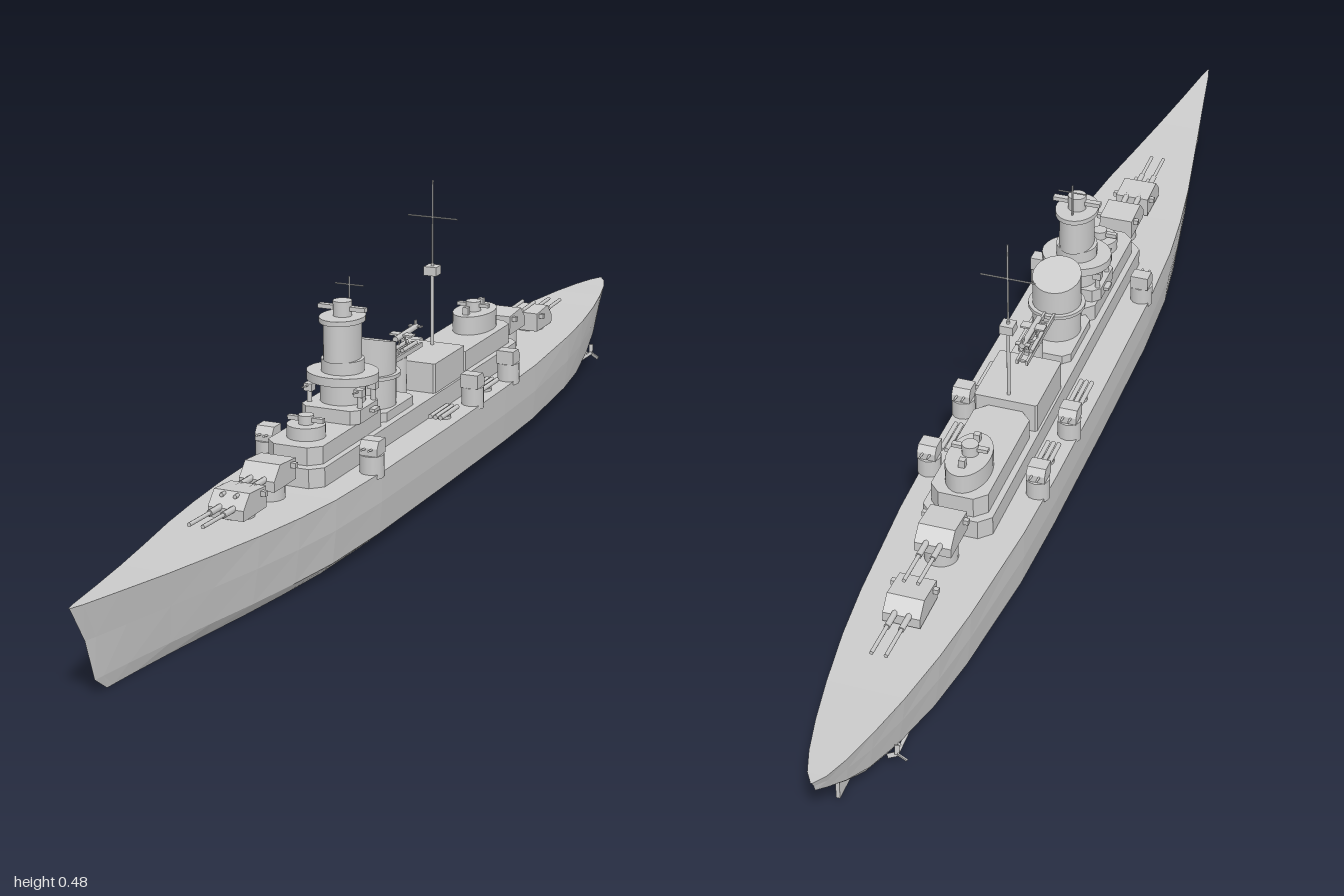
import * as THREE from 'three';

const mat = new THREE.MeshStandardMaterial({ color: 0xcccccc, flatShading: true });
const smooth = new THREE.MeshStandardMaterial({ color: 0xcccccc });

function add(parent, name, geo, x = 0, y = 0, z = 0, m = mat) {
  const mesh = new THREE.Mesh(geo, m);
  mesh.name = name;
  mesh.position.set(x, y, z);
  parent.add(mesh);
  return mesh;
}
const box = (g, name, w, h, d, x, y, z) => add(g, name, new THREE.BoxGeometry(w, h, d), x, y, z);

// Upright cylinder from y0 to y1
const drum = (g, name, r, y0, y1, x, z, rBottom = r, sides = 24) =>
  add(g, name, new THREE.CylinderGeometry(r, rBottom, y1 - y0, sides), x, (y0 + y1) / 2, z, smooth);

// Thin rod between two points
function rod(g, name, a, b, r) {
  const p = new THREE.Vector3(...a), q = new THREE.Vector3(...b);
  const m = add(g, name, new THREE.CylinderGeometry(r, r, p.distanceTo(q), 8), 0, 0, 0, smooth);
  m.position.copy(p).add(q).multiplyScalar(0.5);
  m.quaternion.setFromUnitVectors(new THREE.Vector3(0, 1, 0), q.sub(p).normalize());
  return m;
}

// Deckhouse with chamfered corners in plan
function house(g, name, w, z0, z1, y0, y1, c = 0.012) {
  const pts = [[w, z0 + c], [w, z1 - c], [w - c, z1], [c - w, z1], [-w, z1 - c], [-w, z0 + c], [c - w, z0], [w - c, z0]];
  const shape = new THREE.Shape(pts.map(p => new THREE.Vector2(...p)));
  const geo = new THREE.ExtrudeGeometry(shape, { depth: y1 - y0, bevelEnabled: false });
  return add(g, name, geo.rotateX(Math.PI / 2), 0, y1, 0);
}

// Side profile of (z, y) points given a width across x
function profile(pts, width) {
  const shape = new THREE.Shape(pts.map(p => new THREE.Vector2(...p)));
  const geo = new THREE.ExtrudeGeometry(shape, { depth: width, bevelEnabled: false });
  return geo.translate(0, 0, -width / 2).rotateY(-Math.PI / 2);
}

// Hull lofted through sections: deckZ, keelZ, deckY, keelY, half beam, lower fullness
function hullGeometry() {
  const stations = [
    [1, 0.91, 0.145, 0, 0.001, 0.5], [0.975, 0.895, 0.143, 0, 0.007, 0.4], [0.9, 0.85, 0.138, 0, 0.02, 0.5],
    [0.8, 0.77, 0.132, 0, 0.038, 0.65], [0.7, 0.69, 0.128, 0, 0.056, 0.75], [0.6, 0.6, 0.125, 0, 0.074, 0.84],
    [0.5, 0.5, 0.122, 0, 0.088, 0.92], [0.4, 0.4, 0.12, 0, 0.098, 0.98], [0.25, 0.25, 0.119, 0, 0.104, 1],
    [0, 0, 0.118, 0, 0.105, 1], [-0.25, -0.25, 0.118, 0, 0.104, 1], [-0.4, -0.4, 0.118, 0, 0.1, 1],
    [-0.6, -0.6, 0.119, 0, 0.086, 0.95], [-0.7, -0.7, 0.12, 0.001, 0.075, 0.88], [-0.8, -0.8, 0.121, 0.015, 0.059, 0.8],
    [-0.88, -0.87, 0.123, 0.035, 0.043, 0.75], [-0.94, -0.92, 0.124, 0.06, 0.028, 0.7],
    [-0.98, -0.96, 0.125, 0.085, 0.014, 0.6], [-1, -0.985, 0.126, 0.1, 0.001, 0.5]];
  // Height fraction, width fraction, rake fraction
  const half = [[1, 1, 1], [0.6, 1, 0.6], [0.16, 0.95, 0.35], [0, 0.74, 0]];
  const n = 9, pos = [], idx = [];
  for (const [dz, kz, dy, ky, w, full] of stations) {
    const point = ([h, wf, rake], s) => {
      const flare = THREE.MathUtils.lerp(full, 1, h);
      pos.push(s * w * wf * flare, ky + (dy - ky) * h, kz + (dz - kz) * rake);
    };
    half.forEach(p => point(p, 1));
    point([0, 0, 0], 0);
    [...half].reverse().forEach(p => point(p, -1));
  }
  for (let i = 0; i < stations.length - 1; i++)
    for (let j = 0; j < n; j++) {
      const a = i * n + j, b = i * n + (j + 1) % n, c = a + n, d = b + n;
      idx.push(a, b, c, b, d, c);
    }
  const geo = new THREE.BufferGeometry();
  geo.setAttribute('position', new THREE.Float32BufferAttribute(pos, 3));
  geo.setIndex(idx);
  const flat = geo.toNonIndexed();
  flat.computeVertexNormals();
  return flat;
}

// Twin gun turret on its barbette; dir = 1 points to the bow
function turret(root, name, z, y, dir) {
  const g = new THREE.Group();
  g.name = name;
  drum(g, 'barbette', 0.026, 0.11 - y, 0.006, 0, 0);
  add(g, 'gunhouse', profile([[-0.036, 0.004], [0.036, 0.004], [0.036, 0.02], [0.016, 0.041], [-0.036, 0.037]], 0.058));
  box(g, 'rangefinder', 0.074, 0.008, 0.008, 0, 0.03, -0.022);
  for (const s of [-1, 1]) {
    rod(g, 'barrel', [s * 0.011, 0.02, 0.03], [s * 0.011, 0.023, 0.126], 0.0032);
    rod(g, 'barrelSleeve', [s * 0.011, 0.02, 0.03], [s * 0.011, 0.021, 0.065], 0.005);
  }
  g.position.set(0, y, z);
  g.rotation.y = dir > 0 ? 0 : Math.PI;
  root.add(g);
}

export function createModel() {
  const root = new THREE.Group();
  root.name = 'battleship';
  add(root, 'hull', hullGeometry());

  // Main battery
  turret(root, 'forwardLowerTurret', 0.528, 0.124, 1);
  turret(root, 'forwardUpperTurret', 0.43, 0.138, 1);
  turret(root, 'aftUpperTurret', -0.49, 0.146, -1);
  turret(root, 'aftLowerTurret', -0.622, 0.119, -1);

  // Deckhouses
  house(root, 'mainDeckhouse', 0.056, -0.435, 0.37, 0.112, 0.15, 0.018);
  house(root, 'forwardDeckhouse', 0.046, 0.11, 0.355, 0.15, 0.178, 0.018);
  house(root, 'funnelDeckhouse', 0.045, -0.01, 0.115, 0.15, 0.165);
  house(root, 'hangar', 0.052, -0.195, -0.07, 0.15, 0.2, 0.003);
  house(root, 'aftDeckhouse', 0.046, -0.425, -0.195, 0.15, 0.184, 0.018);

  // Conning tower ahead of the bridge
  drum(root, 'conningTower', 0.03, 0.178, 0.198, 0, 0.3);
  drum(root, 'conningDirector', 0.012, 0.198, 0.212, 0, 0.3);
  box(root, 'conningRangefinder', 0.06, 0.007, 0.008, 0, 0.205, 0.3);

  // Bridge tower
  const tz = 0.17;
  drum(root, 'towerBase', 0.036, 0.178, 0.236, 0, tz);
  house(root, 'bridgeWing', 0.05, 0.135, 0.225, 0.178, 0.2);
  drum(root, 'towerPlatform', 0.058, 0.234, 0.248, 0, tz).scale.z = 0.9;
  drum(root, 'towerMiddle', 0.034, 0.248, 0.268, 0, tz);
  drum(root, 'towerUpper', 0.028, 0.268, 0.332, 0, tz).scale.z = 1.4;
  drum(root, 'towerLip', 0.035, 0.328, 0.336, 0, tz).scale.z = 1.25;
  drum(root, 'towerDirector', 0.015, 0.336, 0.36, 0, tz);
  box(root, 'towerRangefinder', 0.08, 0.007, 0.01, 0, 0.348, tz);
  rod(root, 'towerPole', [0, 0.335, 0.145], [0, 0.392, 0.145], 0.0015);
  rod(root, 'towerYard', [-0.024, 0.379, 0.145], [0.024, 0.379, 0.145], 0.0012);

  // Oval funnel with a slanted top
  const funnel = new THREE.CylinderGeometry(1, 1, 1, 24);
  const fp = funnel.attributes.position;
  for (let i = 0; i < fp.count; i++) {
    const z = fp.getZ(i) * 0.04;
    fp.setXYZ(i, fp.getX(i) * 0.04, fp.getY(i) > 0 ? 0.271 + z * 0.27 : 0.15, z);
  }
  funnel.computeVertexNormals();
  add(root, 'funnel', funnel, 0, 0, 0.064, smooth);
  drum(root, 'funnelPlatform', 0.047, 0.213, 0.219, 0, 0.064);

  // Catapult and floatplane
  drum(root, 'catapultPost', 0.012, 0.145, 0.213, 0, -0.045);
  for (const s of [-1, 1])
    box(root, 'catapultRail', 0.004, 0.008, 0.15, s * 0.008, 0.217, -0.04);
  for (let i = 0; i < 6; i++)
    box(root, 'catapultTie', 0.018, 0.003, 0.004, 0, 0.217, -0.11 + i * 0.028);
  const plane = new THREE.Group();
  plane.name = 'floatplane';
  rod(plane, 'fuselage', [0, 0, 0.04], [0, 0.002, -0.045], 0.005);
  box(plane, 'wing', 0.04, 0.003, 0.016, 0, 0.002, 0.012);
  box(plane, 'tailplane', 0.024, 0.002, 0.008, 0, 0.003, -0.041);
  box(plane, 'tailFin', 0.002, 0.012, 0.009, 0, 0.007, -0.041);
  for (const s of [-1, 1]) {
    rod(plane, 'float', [s * 0.008, -0.02, 0.03], [s * 0.008, -0.02, -0.025], 0.0035);
    rod(plane, 'floatStrut', [s * 0.008, -0.02, 0.01], [s * 0.003, 0, 0.01], 0.0015);
  }
  plane.position.set(0, 0.246, -0.068);
  root.add(plane);

  // Mainmast
  const mz = -0.178;
  rod(root, 'mainmast', [0, 0.19, mz], [0, 0.34, mz], 0.003);
  rod(root, 'topmast', [0, 0.33, mz], [0, 0.48, mz], 0.0016);
  rod(root, 'mainYard', [-0.044, 0.418, mz], [0.044, 0.418, mz], 0.0013);
  box(root, 'mastLookout', 0.022, 0.015, 0.022, 0, 0.328, mz);

  // Aft director station
  drum(root, 'aftStation', 0.034, 0.184, 0.216, 0, -0.362).scale.z = 1.65;
  drum(root, 'aftDirector', 0.013, 0.216, 0.233, 0, -0.357);
  box(root, 'aftRangefinder', 0.058, 0.006, 0.009, 0, 0.226, -0.357);
  for (const z of [-0.325, -0.392]) box(root, 'stationLight', 0.01, 0.014, 0.01, 0, 0.222, z);

  for (const s of [-1, 1]) {
    // Secondary gun turrets along the deck edge
    for (const z of [0.255, -0.143, -0.3]) {
      const g = new THREE.Group();
      g.name = 'secondaryTurret';
      drum(g, 'base', 0.019, 0.112, 0.148, 0, 0, 0.019, 12);
      add(g, 'gunhouse', profile([[-0.017, 0.148], [0.014, 0.148], [0.014, 0.16], [0.007, 0.171], [-0.017, 0.171]], 0.03));
      for (const t of [-1, 1])
        rod(g, 'gun', [t * 0.006, 0.157, 0], [t * 0.006, 0.16, 0.026], 0.0018);
      g.position.set(s * 0.089, 0, z);
      g.rotation.y = z > 0 ? 0 : Math.PI;
      root.add(g);
    }
    // Torpedo tubes
    for (const z of [-0.05, -0.222]) {
      drum(root, 'tubeMount', 0.012, 0.115, 0.123, s * 0.077, z);
      for (let i = -1; i <= 1; i++)
        rod(root, 'torpedoTube', [s * 0.077 + i * 0.009, 0.128, z - 0.035], [s * 0.077 + i * 0.009, 0.128, z + 0.035], 0.004);
    }
    // Light guns on the bridge and searchlights
    for (const z of [0.15, 0.2]) {
      box(root, 'lightGun', 0.014, 0.012, 0.014, s * 0.043, 0.224, z);
      rod(root, 'lightGunBarrel', [s * 0.043, 0.226, z], [s * 0.043, 0.229, z + 0.025], 0.0015);
      drum(root, 'lightGunPost', 0.004, 0.198, 0.22, s * 0.043, z);
    }
    box(root, 'sideRangefinder', 0.018, 0.005, 0.02, s * 0.05, 0.191, 0.17);
    // Propellers and shafts
    const px = s * 0.05, py = 0.026, pz = -0.815;
    rod(root, 'propellerShaft', [s * 0.045, 0.025, -0.68], [px, py, pz], 0.003);
    rod(root, 'shaftBracket', [px, py, pz + 0.015], [s * 0.035, 0.05, pz + 0.015], 0.002);
    for (let i = 0; i < 3; i++) {
      const blade = box(root, 'propellerBlade', 0.007, 0.017, 0.002, px, py, pz);
      blade.geometry.translate(0, 0.0085, 0);
      blade.rotation.set(0, 0.4, i * Math.PI * 2 / 3, 'ZYX');
    }
  }
  // Centre propeller and rudder
  rod(root, 'centreShaft', [0, 0.025, -0.78], [0, 0.03, -0.86], 0.003);
  for (let i = 0; i < 3; i++) {
    const blade = box(root, 'centreBlade', 0.007, 0.017, 0.002, 0, 0.03, -0.855);
    blade.geometry.translate(0, 0.0085, 0);
    blade.rotation.set(0, 0.4, i * Math.PI * 2 / 3, 'ZYX');
  }
  add(root, 'rudder', profile([[-0.873, 0.07], [-0.915, 0.075], [-0.915, 0.018], [-0.878, 0.02]], 0.006));
  return root;
}
